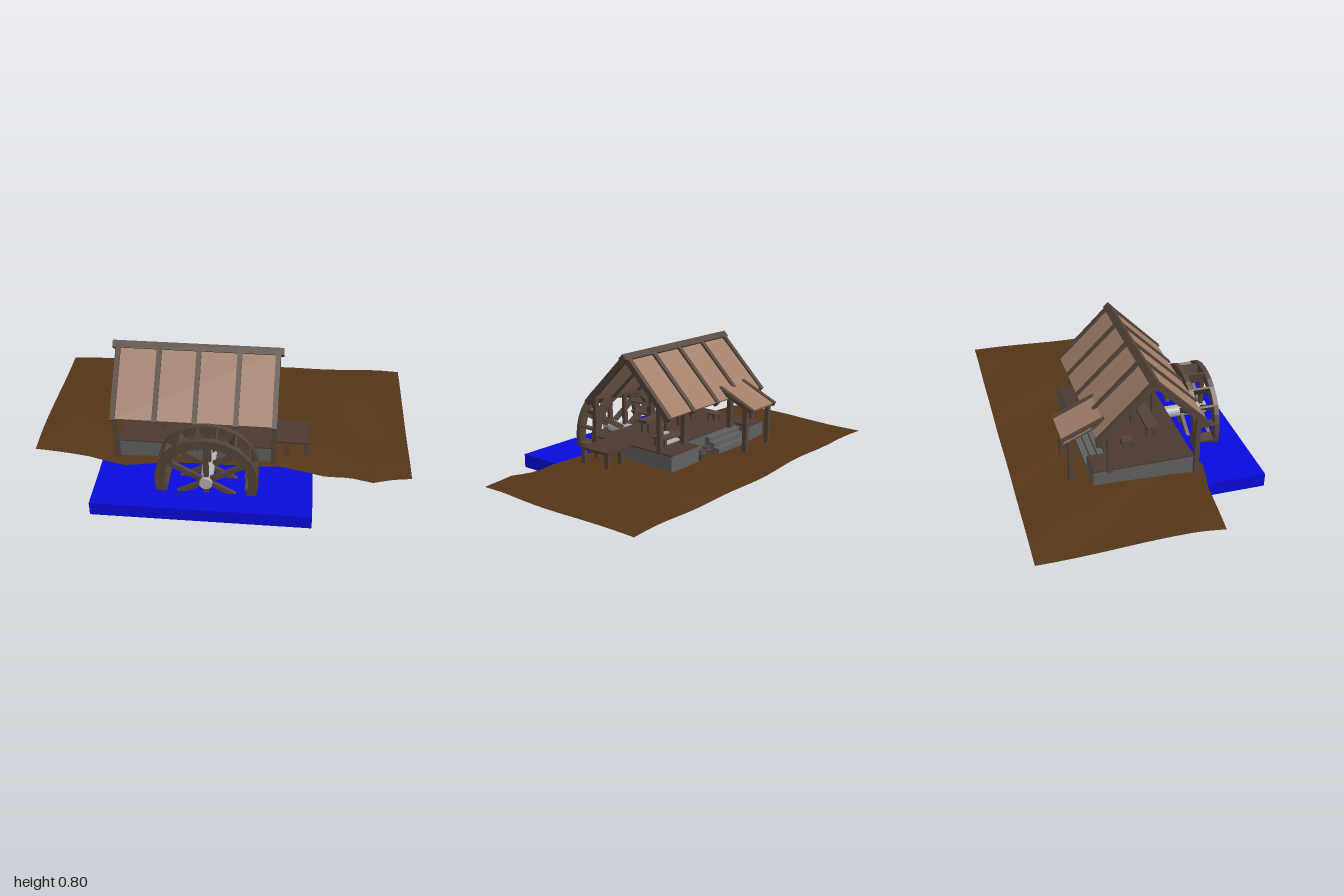
import * as THREE from 'three';

const mat = (color, side = THREE.FrontSide) => new THREE.MeshStandardMaterial({ color, side, flatShading: true });
const wood = mat(0x54443a), tan = mat(0x9f7e69), stone = mat(0x606060), metal = mat(0xb0b0b0);
const floorWood = mat(0x4c3b32), blue = mat(0x0a0adc), earth = mat(0x543619, THREE.DoubleSide);

function add(parent, name, geo, material) {
  const m = new THREE.Mesh(geo, material);
  m.name = name;
  parent.add(m);
  return m;
}
// Box given by its limits on each axis
function box(parent, name, material, x0, x1, y0, y1, z0, z1) {
  const m = add(parent, name, new THREE.BoxGeometry(x1 - x0, y1 - y0, z1 - z0), material);
  m.position.set((x0 + x1) / 2, (y0 + y1) / 2, (z0 + z1) / 2);
  return m;
}
// Sloped plank spanning x0..x1, its centre line running from (y0, z0) to (y1, z1)
function slope(parent, name, material, x0, x1, [y0, z0], [y1, z1], t) {
  const m = add(parent, name, new THREE.BoxGeometry(x1 - x0, t, Math.hypot(y1 - y0, z1 - z0)), material);
  m.position.set((x0 + x1) / 2, (y0 + y1) / 2, (z0 + z1) / 2);
  m.rotation.x = -Math.atan2(y1 - y0, z1 - z0);
  return m;
}
function group(parent, name) {
  const g = new THREE.Group();
  g.name = name;
  parent.add(g);
  return g;
}

// Uneven ground sheet with an irregular bank at the front
function ground(parent) {
  const edge = [[-1, 0.27], [-0.85, 0.285], [-0.7, 0.3], [-0.5, 0.345], [-0.3, 0.32], [0, 0.31], [0.3, 0.3],
    [0.42, 0.32], [0.55, 0.345], [0.68, 0.34], [0.8, 0.375], [0.9, 0.35], [1, 0.335]];
  const bank = x => {
    const i = Math.max(1, edge.findIndex(e => e[0] >= x - 1e-6));
    const [a, b] = [edge[i - 1], edge[i]];
    return a[1] + (b[1] - a[1]) * (x - a[0]) / (b[0] - a[0]);
  };
  const geo = new THREE.PlaneGeometry(2, 1, 40, 16).rotateX(-Math.PI / 2);
  const p = geo.attributes.position;
  for (let i = 0; i < p.count; i++) {
    const x = p.getX(i), v = p.getZ(i) + 0.5;
    const z = -0.635 + v * (bank(x) + 0.635);
    const y = 0.238 + 0.006 * Math.sin(5 * x + 4 * z) + 0.004 * Math.sin(11 * x - 7 * z) - 0.012 * Math.max(0, v - 0.85) / 0.15;
    p.setXYZ(i, x, y, z);
  }
  geo.computeVertexNormals();
  add(parent, 'ground', geo, earth);
}

function waterWheel(parent) {
  const g = group(parent, 'waterWheel');
  g.position.set(-0.05, 0.272, 0);
  const ring = new THREE.Shape().absarc(0, 0, 0.264, 0, Math.PI * 2);
  ring.holes.push(new THREE.Path().absarc(0, 0, 0.215, 0, Math.PI * 2, true));
  const rimGeo = new THREE.ExtrudeGeometry(ring, { depth: 0.026, bevelEnabled: false, curveSegments: 16 });
  for (const z of [0.36, 0.479]) {
    add(g, 'rim', rimGeo, wood).position.z = z;
    // Three full-width bars make six spokes
    for (let i = 0; i < 3; i++) {
      const s = box(g, 'spoke', wood, -0.013, 0.013, -0.23, 0.23, z + 0.003, z + 0.023);
      s.rotation.z = i * Math.PI / 3;
    }
  }
  for (let i = 0; i < 16; i++) {
    const a = (i + 0.5) * Math.PI / 8;
    const paddle = box(g, 'paddle', wood, -0.006, 0.006, -0.03, 0.03, 0.363, 0.502);
    paddle.position.set(-Math.sin(a) * 0.23, Math.cos(a) * 0.23, 0.4325);
    paddle.rotation.z = a;
  }
  const axle = add(g, 'axle', new THREE.CylinderGeometry(0.033, 0.033, 0.26, 20).rotateX(Math.PI / 2), metal);
  axle.position.z = 0.39;
}

function roof(parent) {
  const g = group(parent, 'roof');
  const ribs = [-0.545, -0.33, -0.125, 0.085, 0.28];
  for (const s of [1, -1]) {
    const top = [0.785, 0.055], foot = [0.512, 0.055 + s * 0.28];
    slope(g, 'roofPanel', tan, -0.545, 0.28, top, foot, 0.014);
    for (const x of ribs)
      slope(g, 'rafter', wood, x - 0.013, x + 0.013, [0.79, 0.055], [0.505, 0.055 + s * 0.285], 0.032);
  }
  const cap = box(g, 'ridgeBeam', wood, -0.575, 0.31, 0.765, 0.803, 0.036, 0.074);
  cap.rotation.x = Math.PI / 4;
  // Lean-to cover over the back steps
  slope(g, 'awningPanel', tan, -0.46, -0.22, [0.565, -0.17], [0.469, -0.38], 0.012);
  for (const x of [-0.448, -0.232]) {
    slope(g, 'awningRafter', wood, x - 0.012, x + 0.012, [0.565, -0.165], [0.467, -0.383], 0.025);
    box(g, 'awningPost', wood, x - 0.012, x + 0.012, 0.23, 0.475, -0.355, -0.33);
  }
}

function house(parent) {
  const g = group(parent, 'millHouse');
  box(g, 'foundation', stone, -0.54, 0.285, 0.17, 0.32, -0.155, 0.27);
  box(g, 'floor', floorWood, -0.54, 0.285, 0.32, 0.327, -0.155, 0.27);
  box(g, 'backFooting', stone, -0.54, 0.285, 0.125, 0.23, -0.25, -0.155);
  for (const [a, b] of [[-0.54, -0.4], [0.06, 0.285]]) {
    box(g, 'backBlock', stone, a, b, 0.195, 0.32, -0.25, -0.155);
    box(g, 'backBlockFloor', floorWood, a, b, 0.32, 0.327, -0.25, -0.155);
  }
  // Steps between the two back blocks
  for (let i = 0; i < 3; i++)
    box(g, 'backStep', stone, -0.4, -0.12, 0.2, 0.26 + i * 0.025, -0.25 + i * 0.032, -0.155);
  // Corner and middle posts
  for (const x of [-0.545, 0.28]) {
    box(g, 'frontPost', wood, x - 0.013, x + 0.013, 0.22, 0.57, 0.27, 0.295);
    box(g, 'backPost', wood, x - 0.013, x + 0.013, 0.32, 0.57, -0.182, -0.156);
  }
  for (const x of [-0.33, 0.085])
    box(g, 'backPost', wood, x - 0.013, x + 0.013, 0.32, 0.57, -0.182, -0.156);
  // Side deck
  box(g, 'deck', floorWood, 0.285, 0.465, 0.313, 0.327, 0.02, 0.21);
  for (const x of [0.35, 0.45])
    for (const z of [0.038, 0.205])
      box(g, 'deckLeg', wood, x - 0.011, x + 0.011, 0.19, 0.315, z - 0.013, z + 0.013);
}

function interior(parent) {
  // Upright saw frame
  const saw = group(parent, 'sawFrame');
  for (const x of [-0.16, -0.05]) {
    for (const z of [0.06, 0.173])
      box(saw, 'sawPost', wood, x - 0.013, x + 0.013, 0.325, 0.535, z - 0.009, z + 0.009);
    box(saw, 'sawTopBeam', wood, x - 0.015, x + 0.015, 0.528, 0.545, 0.045, 0.19);
    box(saw, 'sawRail', wood, x - 0.008, x + 0.008, 0.368, 0.38, 0.06, 0.173);
  }
  box(saw, 'bladeHolder', metal, -0.12, -0.09, 0.5, 0.512, 0.075, 0.16);
  for (const z of [0.105, 0.125])
    box(saw, 'blade', metal, -0.108, -0.102, 0.33, 0.515, z - 0.003, z + 0.003);
  // Log carriage
  const table = group(parent, 'carriage');
  box(table, 'carriageTop', wood, -0.35, 0.09, 0.383, 0.4, 0.085, 0.15);
  for (const x of [-0.32, 0.06])
    for (const z of [0.095, 0.14])
      box(table, 'carriageLeg', wood, x - 0.008, x + 0.008, 0.325, 0.385, z - 0.007, z + 0.007);
  // Workbench with a small vice
  const bench = group(parent, 'workbench');
  box(bench, 'benchTop', wood, 0.06, 0.22, 0.368, 0.378, -0.152, -0.065);
  for (const x of [0.075, 0.205])
    for (const z of [-0.14, -0.077])
      box(bench, 'benchLeg', wood, x - 0.007, x + 0.007, 0.325, 0.37, z - 0.007, z + 0.007);
  box(bench, 'benchShelf', metal, 0.075, 0.205, 0.337, 0.344, -0.14, -0.077);
  box(bench, 'vice', metal, 0.12, 0.16, 0.377, 0.386, -0.1, -0.075);
  // Stool near the far end
  box(parent, 'stoolTop', wood, -0.4, -0.34, 0.362, 0.372, -0.06, 0);
  for (const x of [-0.392, -0.348])
    for (const z of [-0.052, -0.008])
      box(parent, 'stoolLeg', wood, x - 0.005, x + 0.005, 0.325, 0.365, z - 0.005, z + 0.005);
  // Buckets by the back steps
  for (const [x, z] of [[0.015, -0.235], [-0.05, -0.215]]) {
    const b = add(parent, 'bucket', new THREE.CylinderGeometry(0.026, 0.021, 0.05, 12), wood);
    b.position.set(x, 0.262, z);
    const hoop = add(parent, 'bucketHoop', new THREE.CylinderGeometry(0.0265, 0.0255, 0.008, 12), stone);
    hoop.position.set(x, 0.275, z);
  }
}

export function createModel() {
  const model = new THREE.Group();
  model.name = 'waterMill';
  ground(model);
  box(model, 'water', blue, -0.63, 0.49, 0.125, 0.2, 0.22, 0.635);
  waterWheel(model);
  house(model);
  roof(model);
  interior(model);
  return model;
}
